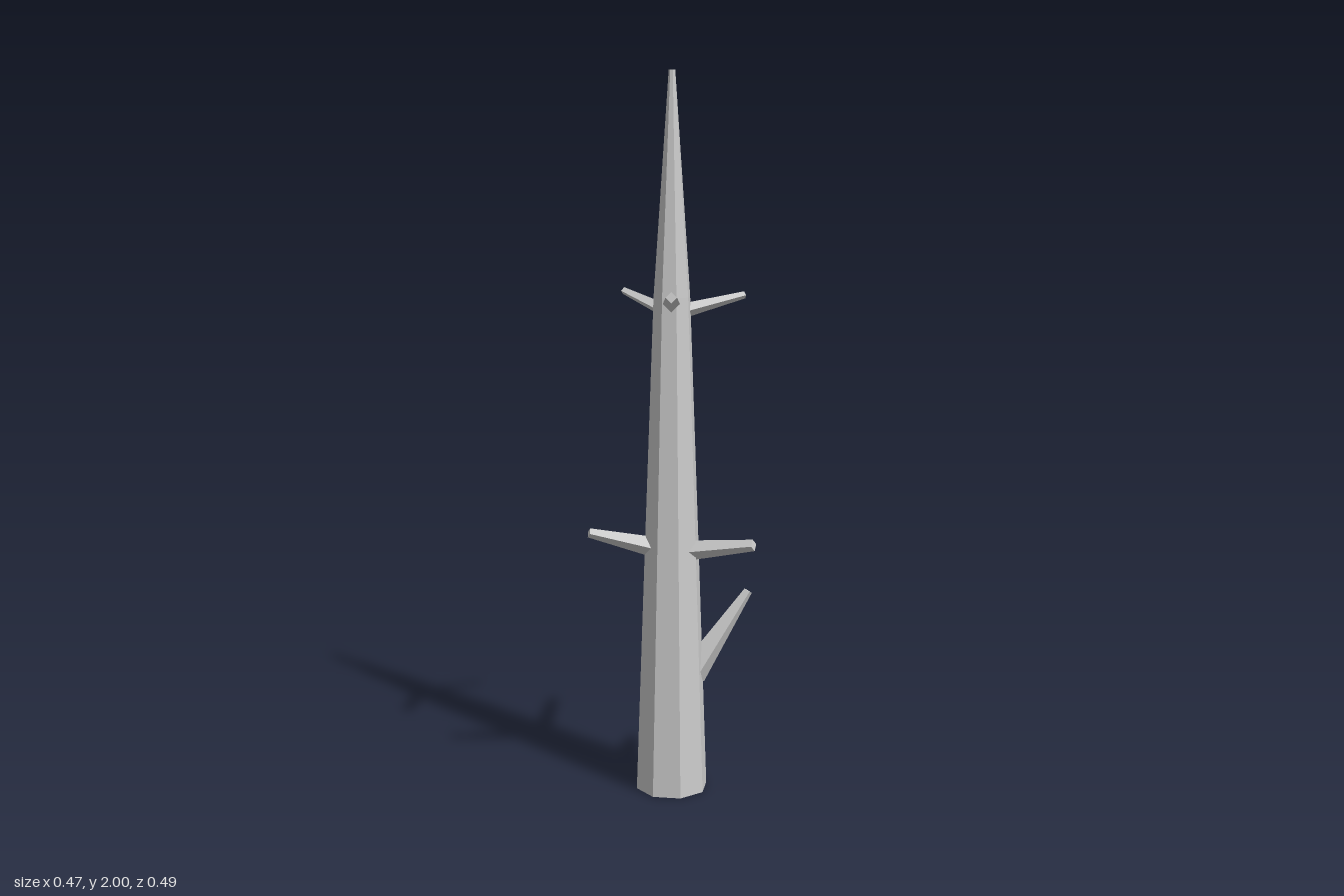
import * as THREE from 'three';

const TRUNK_Z = 0.028;

export function createModel() {
  const group = new THREE.Group();
  const mat = new THREE.MeshStandardMaterial({ color: 0xcccccc, flatShading: true });

  // Eight-sided trunk, slowly narrowing and then drawn out to a spike
  const profile = [[0, 0], [0.102, 0], [0.077, 0.7], [0.051, 1.4], [0.009, 2], [0, 2]]
    .map(([r, y]) => new THREE.Vector2(r, y));
  const trunk = new THREE.Mesh(new THREE.LatheGeometry(profile, 8), mat);
  trunk.name = 'trunk';
  trunk.position.z = TRUNK_Z;
  group.add(trunk);

  // Four-sided tapered branch with a ridge on top, rooted inside the trunk
  function addBranch(name, root, tip, rRoot, rTip) {
    const a = new THREE.Vector3(...root);
    const b = new THREE.Vector3(...tip);
    const dir = b.clone().sub(a);
    const mesh = new THREE.Mesh(new THREE.CylinderGeometry(rTip, rRoot, dir.length(), 4), mat);
    mesh.name = name;
    mesh.position.copy(a).add(b).multiplyScalar(0.5);
    mesh.rotation.order = 'YXZ';
    mesh.rotation.y = Math.atan2(dir.x, dir.z);
    mesh.rotation.x = Math.atan2(Math.hypot(dir.x, dir.z), dir.y);
    group.add(mesh);
  }

  // Steep low branch
  addBranch('lowBranch', [0.06, 0.327, TRUNK_Z], [0.222, 0.56, TRUNK_Z], 0.042, 0.013);

  // Ring of three at mid height
  addBranch('middleBranchRight', [-0.035, 0.7, TRUNK_Z], [-0.234, 0.756, TRUNK_Z], 0.03, 0.013);
  addBranch('middleBranchFront', [0.03, 0.695, 0.052], [0.187, 0.737, 0.196], 0.029, 0.016);
  addBranch('middleBranchBack', [0.018, 0.683, -0.022], [0.13, 0.748, -0.24], 0.029, 0.014);

  // Ring of three near the top
  addBranch('upperBranchLeft', [0.02, 1.357, 0.026], [0.209, 1.397, 0.013], 0.021, 0.01);
  addBranch('upperBranchBack', [-0.015, 1.36, 0.004], [-0.1, 1.402, -0.126], 0.019, 0.01);
  addBranch('upperBranchFront', [-0.007, 1.38, 0.05], [-0.054, 1.422, 0.24], 0.024, 0.015);

  return group;
}
